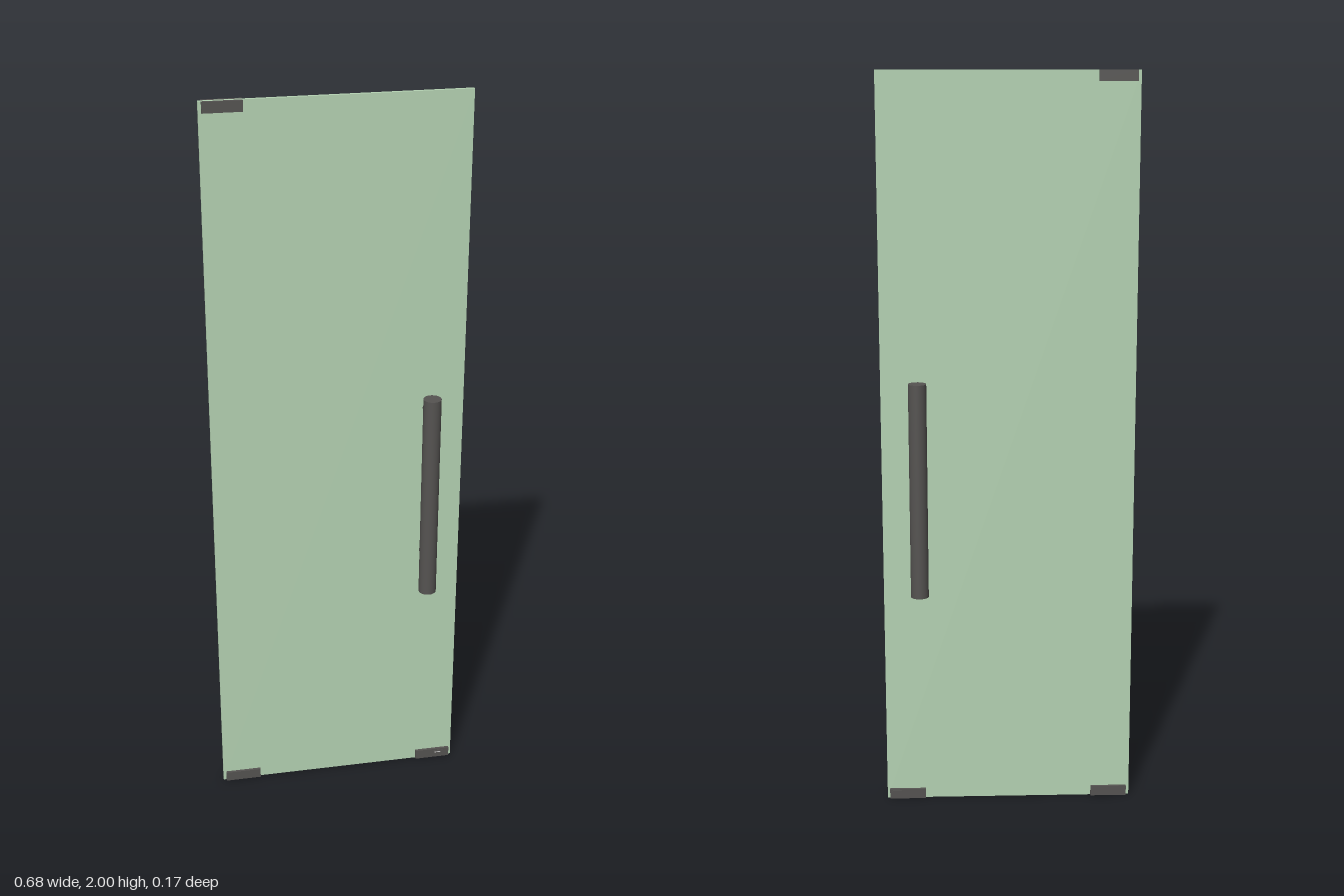
import * as THREE from 'three';

export function createModel() {
  const model = new THREE.Group();
  const glass = new THREE.MeshStandardMaterial({ color: 0xb4d2b2 });
  const metal = new THREE.MeshStandardMaterial({ color: 0x555351 });
  const steel = new THREE.MeshStandardMaterial({ color: 0xcccccc });

  const add = (name, geometry, material, x, y, z, parent = model) => {
    const mesh = new THREE.Mesh(geometry, material);
    mesh.name = name;
    mesh.position.set(x, y, z);
    parent.add(mesh);
    return mesh;
  };

  // Glass leaf
  add('glassPanel', new THREE.BoxGeometry(0.68, 2, 0.009), glass, 0, 1, 0);

  // Patch fittings clamped over three corners
  const patch = new THREE.BoxGeometry(0.1, 0.028, 0.024);
  add('topHingePatch', patch, metal, -0.282, 1.986, 0);
  add('bottomHingePatch', patch, metal, -0.282, 0.0142, 0);
  add('lockPatch', patch, metal, 0.283, 0.0142, 0);

  // Rounded lock plate with a key slot, on each face of the lock patch
  const plate = new THREE.Shape();
  plate.absarc(0.011, 0, 0.006, -Math.PI / 2, Math.PI / 2);
  plate.absarc(-0.011, 0, 0.006, Math.PI / 2, Math.PI * 1.5);
  const plateGeometry = new THREE.ExtrudeGeometry(plate, { depth: 0.002, bevelEnabled: false });
  for (const side of [1, -1]) {
    const lock = new THREE.Group();
    lock.name = side > 0 ? 'frontLock' : 'backLock';
    lock.position.set(side > 0 ? 0.302 : 0.313, 0.018, side * 0.0115);
    if (side < 0) lock.rotation.y = Math.PI;
    add('lockPlate', plateGeometry, metal, 0, 0, 0, lock);
    if (side > 0) {
      add('keySlot', new THREE.BoxGeometry(0.018, 0.003, 0.0006), steel, -0.003, 0, 0.002, lock);
    }
    model.add(lock);
  }

  // Pull bars on both faces, joined by two posts through the glass
  const handle = new THREE.Group();
  handle.name = 'pullHandle';
  handle.position.x = 0.241;
  const bar = new THREE.CylinderGeometry(0.024, 0.024, 0.585, 48);
  add('frontBar', bar, metal, 0, 0.908, 0.062, handle);
  add('backBar', bar, metal, 0, 0.908, -0.062, handle);
  const post = new THREE.CylinderGeometry(0.012, 0.012, 0.11, 32).rotateX(Math.PI / 2);
  for (const y of [0.715, 1.15]) add('handlePost', post, metal, 0, y, 0, handle);
  model.add(handle);

  return model;
}
